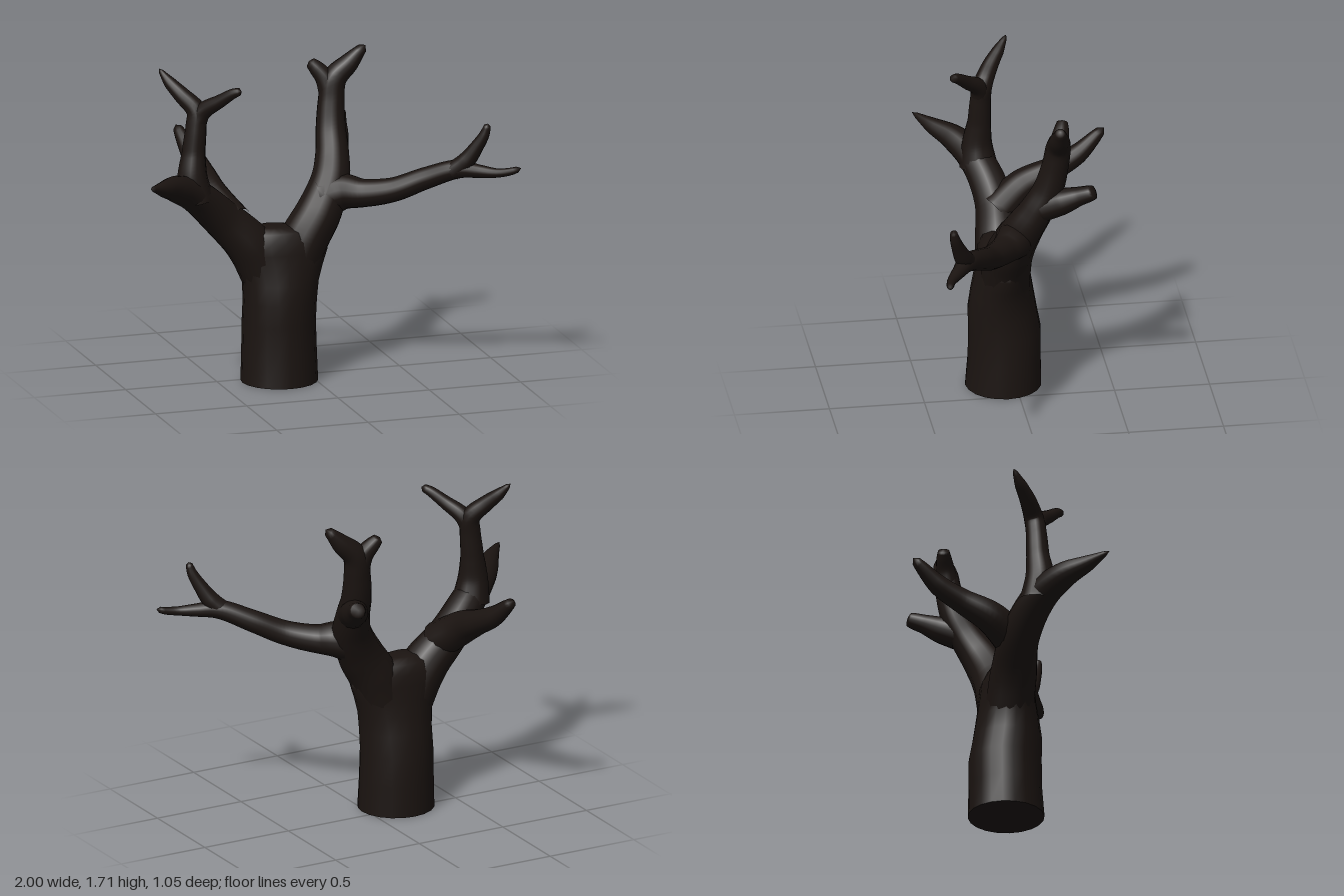
import * as THREE from 'three';
import { mergeVertices } from 'three/addons/utils/BufferGeometryUtils.js';

const bark = new THREE.MeshStandardMaterial({ color: 0x1b1411 });
const SIDES = 14;

// Drop seams so the whole skin shades smoothly
function weld(geometry) {
  geometry.deleteAttribute('uv');
  geometry.deleteAttribute('normal');
  const welded = mergeVertices(geometry, 1e-5);
  welded.computeVertexNormals();
  return welded;
}

// Tapered limb through points [x, y, z, radius], closed at its tip
function limb(name, points) {
  const curve = new THREE.CatmullRomCurve3(points.map(p => new THREE.Vector3(p[0], p[1], p[2])), false, 'centripetal');
  const segments = points.length * 5;
  const geometry = new THREE.TubeGeometry(curve, segments, 1, SIDES);
  const pos = geometry.attributes.position;
  const v = new THREE.Vector3();
  for (let i = 0; i <= segments; i++) {
    const u = i / segments;
    const center = curve.getPointAt(u);
    const t = curve.getUtoTmapping(u) * (points.length - 1);
    const k = Math.min(Math.floor(t), points.length - 2);
    const radius = i === segments ? 0 : THREE.MathUtils.lerp(points[k][3], points[k + 1][3], t - k);
    for (let j = 0; j <= SIDES; j++) {
      const n = i * (SIDES + 1) + j;
      v.fromBufferAttribute(pos, n).sub(center).multiplyScalar(radius).add(center);
      pos.setXYZ(n, v.x, v.y, v.z);
    }
  }
  const mesh = new THREE.Mesh(weld(geometry), bark);
  mesh.name = name;
  return mesh;
}

// Trunk lofted through ellipses [y, xMin, xMax, zMin, zMax], domed at the fork
function trunk() {
  const rings = [
    [0, -0.38, 0.025, -0.14, 0.26], [0.16, -0.375, 0.02, -0.137, 0.247],
    [0.32, -0.372, 0.015, -0.137, 0.245], [0.44, -0.372, 0.018, -0.115, 0.247],
    [0.54, -0.378, 0.03, -0.098, 0.232], [0.62, -0.4, 0.055, -0.085, 0.215],
    [0.7, -0.44, 0.085, -0.075, 0.2], [0.76, -0.45, 0.09, -0.068, 0.19],
    [0.81, -0.4, 0.02, -0.045, 0.165], [0.835, -0.3, -0.14, 0, 0.12], [0.838, -0.22, -0.22, 0.06, 0.06],
  ];
  const sides = 20;
  const geometry = new THREE.CylinderGeometry(1, 1, 1, sides, rings.length - 1, true);
  const pos = geometry.attributes.position;
  for (let i = 0; i < pos.count; i++) {
    const row = rings.length - 1 - Math.floor(i / (sides + 1));
    const [y, x0, x1, z0, z1] = rings[row];
    pos.setXYZ(i, (x0 + x1) / 2 + pos.getX(i) * (x1 - x0) / 2, y,
      (z0 + z1) / 2 + pos.getZ(i) * (z1 - z0) / 2);
  }
  const mesh = new THREE.Mesh(weld(geometry), bark);
  mesh.name = 'trunk';
  return mesh;
}

// Flat cut underneath the trunk
function trunkBase() {
  const mesh = new THREE.Mesh(new THREE.CircleGeometry(1, 20), bark);
  mesh.scale.set(0.2025, 0.2, 1);
  mesh.rotation.x = Math.PI / 2;
  mesh.position.set(-0.1775, 0, 0.06);
  mesh.name = 'trunkBase';
  return mesh;
}

export function createModel() {
  const tree = new THREE.Group();
  tree.name = 'bareTree';
  tree.add(trunk(), trunkBase());

  const limbs = {
    // Right side of the fork
    rightMainLimb: [[-0.24, 0.55, 0.06, 0.13], [-0.34, 0.74, 0.06, 0.125], [-0.49, 0.895, 0.06, 0.105],
      [-0.66, 1.05, 0.125, 0.09], [-0.8, 1.125, 0.225, 0.07], [-0.9, 1.16, 0.33, 0.042], [-1, 1.193, 0.42, 0.006]],
    rightUpperBranch: [[-0.66, 1.03, 0.12, 0.1], [-0.675, 1.15, 0.125, 0.08], [-0.665, 1.28, 0.115, 0.062],
      [-0.65, 1.42, 0.11, 0.055], [-0.645, 1.5, 0.1, 0.053], [-0.71, 1.58, 0.05, 0.043],
      [-0.76, 1.64, 0, 0.032], [-0.802, 1.705, -0.047, 0.008]],
    rightUpperTwig: [[-0.65, 1.43, 0.11, 0.05], [-0.62, 1.5, 0.125, 0.047], [-0.55, 1.57, 0.2, 0.035],
      [-0.49, 1.625, 0.26, 0.026], [-0.46, 1.64, 0.29, 0.018]],
    rightBackBranch: [[-0.43, 0.87, 0.06, 0.1], [-0.495, 0.98, -0.09, 0.088], [-0.5, 1.06, -0.25, 0.066],
      [-0.515, 1.13, -0.38, 0.055], [-0.54, 1.215, -0.48, 0.034], [-0.553, 1.255, -0.525, 0.02]],

    // Left side of the fork
    leftMainLimb: [[-0.12, 0.55, 0.06, 0.13], [-0.04, 0.75, 0.06, 0.13], [0.04, 0.88, 0.05, 0.122],
      [0.12, 1.03, 0, 0.105], [0.153, 1.15, -0.065, 0.09], [0.165, 1.27, -0.125, 0.08],
      [0.18, 1.42, -0.162, 0.07], [0.2, 1.53, -0.175, 0.066], [0.28, 1.61, -0.17, 0.052],
      [0.335, 1.67, -0.165, 0.032], [0.368, 1.702, -0.16, 0.02]],
    leftUpperTwig: [[0.185, 1.43, -0.165, 0.065], [0.155, 1.53, -0.185, 0.052], [0.11, 1.59, -0.205, 0.04],
      [0.075, 1.625, -0.215, 0.026]],
    leftBackStub: [[0.17, 1.18, -0.1, 0.08], [0.215, 1.225, -0.2, 0.07], [0.25, 1.265, -0.28, 0.05],
      [0.275, 1.29, -0.335, 0.042], [0.285, 1.302, -0.36, 0.034]],
    leftLongBranch: [[0.06, 0.95, 0.03, 0.11], [0.17, 0.985, 0.06, 0.098], [0.26, 0.985, 0.12, 0.075],
      [0.4, 1.015, 0.21, 0.064], [0.55, 1.083, 0.285, 0.058], [0.7, 1.145, 0.38, 0.05],
      [0.79, 1.14, 0.435, 0.036], [0.88, 1.135, 0.485, 0.024], [0.95, 1.143, 0.503, 0.02], [1, 1.158, 0.512, 0.014]],
    leftLongTwig: [[0.67, 1.13, 0.365, 0.05], [0.735, 1.195, 0.405, 0.047], [0.78, 1.27, 0.435, 0.036],
      [0.815, 1.34, 0.458, 0.027], [0.832, 1.402, 0.47, 0.016]],
  };
  for (const [name, points] of Object.entries(limbs)) tree.add(limb(name, points));
  return tree;
}
